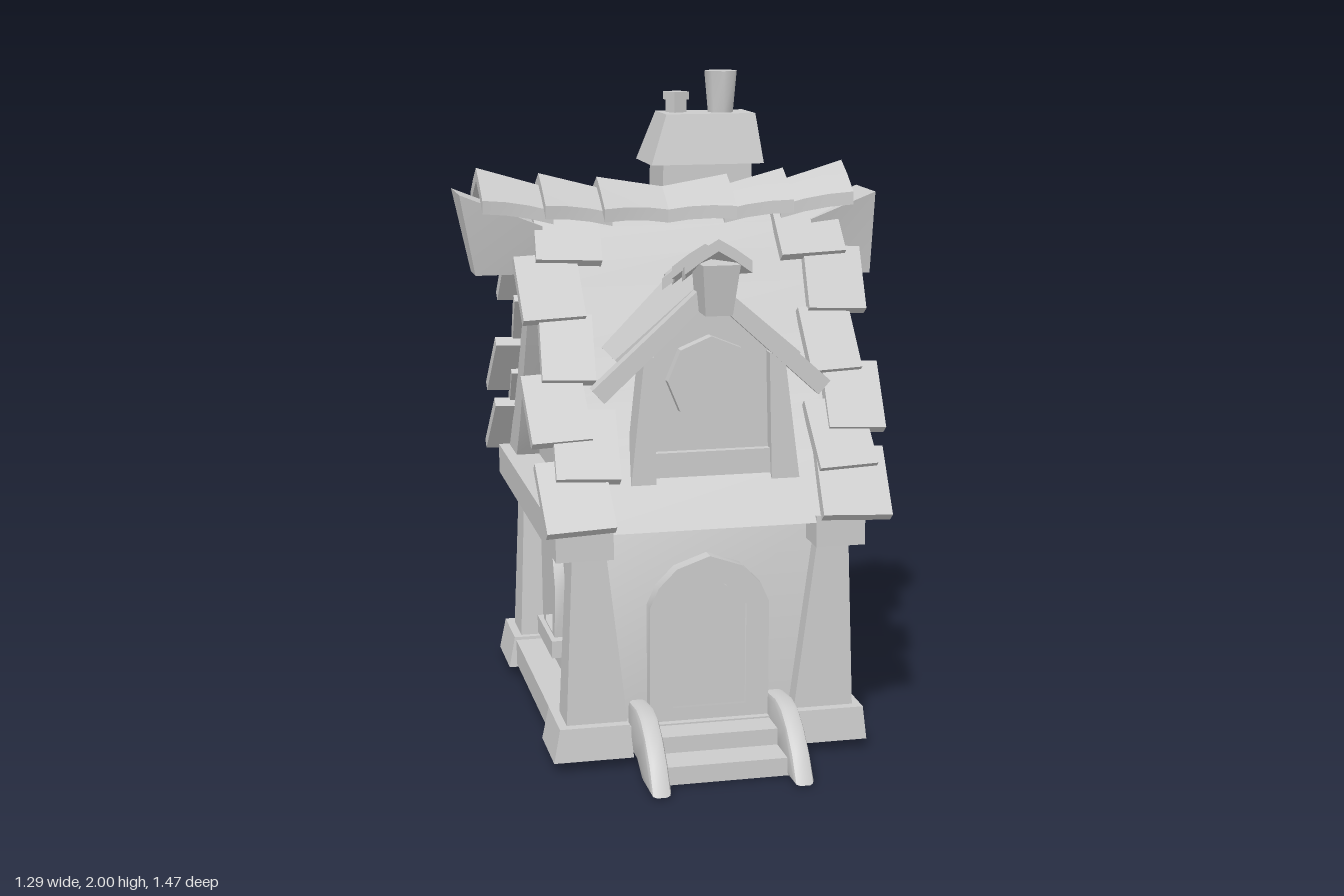
import * as THREE from 'three';
import { toCreasedNormals } from 'three/addons/utils/BufferGeometryUtils.js';

const ZC = -0.09; // z of the ridge line
const XC = 0.03; // x of the house centre line

export function createModel() {
  const root = new THREE.Group();
  const mat = new THREE.MeshStandardMaterial({ color: 0xcccccc });
  const openMat = new THREE.MeshStandardMaterial({ color: 0xcccccc, side: THREE.DoubleSide });

  const add = (name, geo, parent = root, crease = 0.6) => {
    const m = new THREE.Mesh(toCreasedNormals(geo, crease), mat);
    m.name = name;
    parent.add(m);
    return m;
  };

  // Axis-aligned box from its limits
  const box = (name, x0, x1, y0, y1, z0, z1, parent) =>
    add(name, new THREE.BoxGeometry(x1 - x0, y1 - y0, z1 - z0)
      .translate((x0 + x1) / 2, (y0 + y1) / 2, (z0 + z1) / 2), parent);

  // Tapered block: bottom and top rectangles [x0, x1, z0, z1]; tilt lowers the top at x0 and x1
  const taper = (name, b, y0, t, y1, tilt = [0, 0]) => {
    const g = new THREE.BoxGeometry(1, 1, 1), p = g.attributes.position;
    for (let i = 0; i < p.count; i++) {
      const up = p.getY(i) > 0, r = up ? t : b, side = p.getX(i) > 0 ? 1 : 0;
      p.setXYZ(i, r[side], up ? y1 - tilt[side] : y0, r[p.getZ(i) > 0 ? 3 : 2]);
    }
    return add(name, g);
  };

  const shapeOf = (pts) => new THREE.Shape(pts.map((q) => new THREE.Vector2(q[0], q[1])));

  // Outline in x,y pushed along z, with an optional hole
  const plate = (name, pts, z0, z1, hole, parent) => {
    const s = shapeOf(pts);
    if (hole) s.holes.push(shapeOf(hole));
    return add(name, new THREE.ExtrudeGeometry(s, { depth: z1 - z0, bevelEnabled: false }).translate(0, 0, z0), parent);
  };

  // Outline in z,y pushed along x
  const sidePlate = (name, pts, x0, x1, bevel = 0) =>
    add(name, new THREE.ExtrudeGeometry(shapeOf(pts), {
      depth: x1 - x0 - 2 * bevel, bevelEnabled: bevel > 0, bevelSize: bevel, bevelThickness: bevel, bevelSegments: 2,
    }).rotateY(-Math.PI / 2).translate(x1 - bevel, 0, 0));

  // Slab lying between two points [z, y]
  const slab = (name, x, w, a, b, t, twist) => {
    const dz = b[0] - a[0], dy = b[1] - a[1];
    const m = add(name, new THREE.BoxGeometry(w, t, Math.hypot(dz, dy)).rotateY(twist));
    m.position.set(x, (a[1] + b[1]) / 2, (a[0] + b[0]) / 2);
    m.rotation.x = -Math.atan2(dy, dz);
  };

  // Bent ridge tile along z: wide raised end at z1, narrow end at z0
  const ridgeTile = (name, z0, z1, wide, narrow, peak0, peak1, drop, t) => {
    const g = new THREE.BoxGeometry(1, 1, 1, 4, 1, 3), p = g.attributes.position;
    for (let i = 0; i < p.count; i++) {
      const u = p.getX(i) * 2, f = p.getZ(i) + 0.5, half = narrow + (wide - narrow) * f * f;
      const y = peak0 + (peak1 - peak0) * f - Math.pow(Math.abs(u), 1.15) * drop * half / wide;
      p.setXYZ(i, u * half, p.getY(i) > 0 ? y : y - t, z0 + (z1 - z0) * f);
    }
    return add(name, g);
  };

  const mirrorX = (pts) => pts.concat(pts.filter((q) => q[0] !== 0).reverse().map((q) => [-q[0], q[1]]));
  const octagon = (r) => Array.from({ length: 8 }, (_, i) =>
    [r * Math.sin(i * Math.PI / 4), r * Math.cos(i * Math.PI / 4)]);

  // --- Foundation and lower walls ---
  for (const [a, b, c, d] of [[-0.46, -0.22, 0.25, 0.47], [0.26, 0.5, 0.25, 0.47], [-0.46, -0.22, -0.645, -0.42], [0.26, 0.5, -0.645, -0.42]])
    taper('cornerStone', [a, b, c, d], 0.03, [a + 0.02, b - 0.01, c + 0.005, d - 0.01], 0.13);
  box('frontPlinth', -0.24, 0.28, 0.04, 0.115, 0.3, 0.44);
  box('backPlinth', -0.24, 0.28, 0.04, 0.115, -0.62, -0.5);
  box('leftPlinth', 0.36, 0.475, 0.04, 0.12, -0.45, 0.28);
  box('rightPlinth', -0.435, -0.3, 0.04, 0.12, -0.45, 0.28);
  for (const [b, t] of [
    [[-0.415, -0.23, 0.3, 0.43], [-0.39, -0.3, 0.325, 0.42]], [[0.28, 0.465, 0.3, 0.43], [0.36, 0.445, 0.325, 0.42]],
    [[-0.415, -0.23, -0.6, -0.45], [-0.39, -0.3, -0.595, -0.485]], [[0.28, 0.465, -0.6, -0.45], [0.36, 0.445, -0.595, -0.485]],
  ]) taper('cornerPost', b, 0.12, t, 0.72);
  box('leftEaveBeam', 0.33, 0.48, 0.645, 0.74, -0.66, 0.48);
  box('rightEaveBeam', -0.45, -0.28, 0.645, 0.74, -0.66, 0.48);

  // --- Roof profile: [distance from ridge line, height] ---
  const curve = [[0, 1.63], [0.06, 1.55], [0.15, 1.38], [0.24, 1.21], [0.33, 1.06], [0.43, 0.91], [0.57, 0.72]];
  const reach = (y) => {
    const i = Math.max(1, curve.findIndex((q) => q[1] <= y));
    const [d0, y0] = curve[i - 1], [d1, y1] = curve[i];
    return d0 + (d1 - d0) * (y - y0) / (y1 - y0);
  };
  // Walls and gables in one hull under the roof
  sidePlate('houseBody', mirrorX([[0, 1.55], [0.15, 1.3], [0.32, 0.99], [0.46, 0.76], [0.46, 0.05]])
    .map((q) => [q[0] + ZC, q[1]]), -0.34, 0.4);
  // Roof skin, then deeper barge boards at the gable ends
  for (const s of [1, -1]) {
    const band = (inner) => [...curve, ...inner].map((q) => [ZC + s * q[0], q[1]]);
    sidePlate('roofSlope', band([[0.54, 0.715], [0.4, 0.87], [0.3, 1.01], [0.2, 1.19], [0, 1.55]]), -0.41, 0.465);
    const barge = band([[0.415, 0.72], [0.32, 0.86], [0.06, 1.37], [0, 1.38]]);
    sidePlate('bargeBoard', barge, 0.4, 0.47);
    sidePlate('bargeBoard', barge, -0.415, -0.34);
  }

  // Edge shingles: [lower height, right-side x range, left-side x range]
  const rows = [
    [1.44, -0.425, -0.225, 0.325, 0.53], [1.28, -0.49, -0.3, 0.4, 0.58], [1.11, -0.44, -0.28, 0.37, 0.53],
    [0.95, -0.5, -0.32, 0.41, 0.585], [0.85, -0.43, -0.24, 0.35, 0.53], [0.72, -0.485, -0.28, 0.35, 0.56],
  ];
  for (const s of [1, -1])
    rows.forEach(([y, a, b, c, d], i) => {
      const top = Math.min(y + 0.19, 1.62), lift = s > 0 ? 0.03 : 0.042;
      const hi = [ZC + s * (reach(top) + 0.012), top];
      const lo = [ZC + s * (reach(y) + (i === 5 ? lift - 0.012 : lift)), y + 0.014];
      const twist = 0.05 * s * (i % 2 ? 1 : -1);
      slab('shingle', (a + b) / 2, b - a, hi, lo, 0.035, twist);
      slab('shingle', (c + d) / 2, d - c, hi, lo, 0.035, -twist);
    });
  for (const [a, b, o] of [[-0.33, -0.11, 0], [0.095, 0.28, 0], [0.29, 0.46, 0.015]])
    slab('backEaveShingle', (a + b) / 2, b - a, [-0.59, 0.77], [-0.705 - o, 0.685 - o], 0.03, 0.04);

  // --- Ridge beam ends and ridge tiles ---
  taper('ridgeBeamRight', [-0.6, -0.4, -0.145, -0.035], 1.41, [-0.65, -0.4, -0.19, 0.01], 1.66, [0, 0.1]);
  taper('ridgeBeamLeft', [0.44, 0.645, -0.145, -0.035], 1.38, [0.44, 0.645, -0.19, 0.01], 1.64, [0.08, 0]);
  const ridge = [[-0.01, 0.2, 1.66, 1.695], [0.17, 0.38, 1.655, 1.71], [0.35, 0.57, 1.665, 1.73]];
  for (const s of [1, -1])
    for (const [a, b, p0, p1] of ridge) {
      const m = ridgeTile('ridgeTile', a, b, 0.133, 0.095, p0, p1, 0.085, 0.04);
      m.rotation.y = s * Math.PI / 2;
      m.position.set(s < 0 ? -0.015 : -0.005, 0, ZC - 0.005);
    }

  // --- Chimney ---
  taper('chimneyShaft', [0.005, 0.315, -0.42, -0.2], 0.98, [0.02, 0.305, -0.41, -0.21], 1.73);
  taper('chimneyHood', [-0.022, 0.34, -0.43, -0.19], 1.715, [0.033, 0.32, -0.39, -0.225], 1.87);
  add('largeChimneyPot', new THREE.CylinderGeometry(0.053, 0.04, 0.14, 8), root, 1).position.set(0.225, 1.93, -0.3);
  const pot = new THREE.Group();
  pot.name = 'smallChimneyPot';
  pot.position.set(0.085, 1.87, -0.32);
  pot.rotation.y = 0.45;
  root.add(pot);
  box('potStem', -0.024, 0.024, -0.01, 0.045, -0.024, 0.024, pot);
  box('potCap', -0.029, 0.029, 0.04, 0.065, -0.029, 0.029, pot);

  // --- Dormer ---
  taper('dormerBody', [-0.17, 0.24, 0, 0.355], 0.8, [-0.15, 0.22, 0, 0.355], 1.165);
  plate('dormerGable', [[-0.15, 1.16], [0.21, 1.16], [0.21, 1.24], [XC, 1.4], [-0.15, 1.24]], 0.32, 0.355);
  taper('dormerPost', [-0.21, -0.135, 0.3, 0.395], 0.84, [-0.17, -0.14, 0.3, 0.395], 1.22);
  taper('dormerPost', [0.215, 0.3, 0.3, 0.395], 0.84, [0.205, 0.25, 0.3, 0.395], 1.22);
  box('dormerSill', -0.15, 0.23, 0.84, 0.93, 0.3, 0.38);
  plate('dormerRoof', [[-0.25, 1.21], [XC, 1.45], [0.31, 1.21], [0.29, 1.19], [XC, 1.4], [-0.23, 1.19]], 0.02, 0.36);
  plate('dormerBargeBoards', [[-0.325, 1.13], [XC, 1.45], [0.39, 1.13], [0.355, 1.09], [XC, 1.385], [-0.29, 1.09]], 0.355, 0.4);
  taper('dormerRidgeBeam', [-0.01, 0.07, 0.35, 0.485], 1.35, [-0.025, 0.085, 0.37, 0.515], 1.5);
  for (const [a, b, p0, p1] of [[0.04, 0.175, 1.45, 1.48], [0.16, 0.31, 1.47, 1.535], [0.29, 0.475, 1.5, 1.57]])
    ridgeTile('dormerRidgeTile', a, b, 0.1, 0.065, p0, p1, 0.065, 0.035).position.x = XC;

  // --- Openings, each built facing +z and then turned ---
  const place = (name, x, y, z, turn) => {
    const g = new THREE.Group();
    g.name = name;
    g.position.set(x, y, z);
    g.rotation.y = turn;
    root.add(g);
    return g;
  };
  const roundWindow = (g) => {
    plate('roundWindowFrame', octagon(0.13), 0, 0.04, octagon(0.082), g);
    plate('roundWindowRim', octagon(0.085), 0, 0.025, octagon(0.065), g);
    plate('roundWindowPane', octagon(0.07), 0, 0.008, null, g);
  };
  roundWindow(place('dormerWindow', XC, 1.145, 0.352, 0));
  roundWindow(place('gableWindow', -0.338, 1.01, ZC, -Math.PI / 2));

  const pointedWindow = (g) => {
    plate('windowFrame', mirrorX([[0, 0.58], [0.075, 0.5], [0.12, 0.4], [0.1, 0.22]]), 0, 0.035,
      mirrorX([[0, 0.49], [0.04, 0.44], [0.065, 0.38], [0.06, 0.24]]), g);
    plate('windowPane', mirrorX([[0, 0.51], [0.07, 0.39], [0.065, 0.22]]), -0.01, 0.008, null, g);
    box('windowSill', -0.14, 0.14, 0.18, 0.235, -0.01, 0.05, g);
  };
  pointedWindow(place('backWindow', XC, 0.03, -0.548, Math.PI));
  pointedWindow(place('sideWindow', -0.338, 0.02, -0.125, -Math.PI / 2));

  const door = place('door', 0.022, 0, 0.368, 0);
  plate('doorFrame', mirrorX([[0, 0.62], [0.1, 0.585], [0.155, 0.53], [0.182, 0.47], [0.182, 0.08]]), 0, 0.05,
    mirrorX([[0, 0.555], [0.06, 0.54], [0.112, 0.465], [0.112, 0.155]]), door);
  plate('doorTrim', mirrorX([[0, 0.557], [0.062, 0.542], [0.114, 0.467], [0.114, 0.153]]), 0, 0.03,
    mirrorX([[0, 0.54], [0.053, 0.525], [0.1, 0.46], [0.1, 0.17]]), door);
  plate('doorPanel', mirrorX([[0, 0.56], [0.115, 0.47], [0.115, 0.15]]), 0, 0.01, null, door);

  // --- Diagonal braces on the left wall and gable ---
  sidePlate('wallBrace', [[0.3, 0.21], [0.25, 0.12], [-0.49, 0.585], [-0.47, 0.645], [-0.39, 0.645]], 0.39, 0.408);
  sidePlate('gableBrace', [[0.05, 1.2], [0.05, 1.07], [-0.4, 0.88], [-0.38, 0.98]], 0.39, 0.408);

  // --- Steps and curved side rails ---
  box('upperStep', -0.175, 0.21, 0.005, 0.11, 0.36, 0.535);
  box('lowerStep', -0.175, 0.21, 0.005, 0.06, 0.5, 0.645);
  const rail = [[0.715, 0.015], [0.67, 0.075], [0.61, 0.13], [0.55, 0.165], [0.49, 0.175], [0.4, 0.165], [0.4, 0.05], [0.52, 0.05], [0.59, 0.015]];
  sidePlate('stairRail', rail, -0.222, -0.163, 0.015);
  sidePlate('stairRail', rail, 0.202, 0.261, 0.015);

  // The house and its foundation are open underneath, so their insides show
  for (const m of root.children.filter((c) => /Stone|Plinth|houseBody/.test(c.name))) {
    m.geometry.computeBoundingBox();
    const p = m.geometry.attributes.position, low = m.geometry.boundingBox.min.y + 1e-4, keep = [];
    for (let i = 0; i < p.count; i += 3)
      if (Math.max(p.getY(i), p.getY(i + 1), p.getY(i + 2)) > low) keep.push(i, i + 1, i + 2);
    m.geometry.setIndex(keep);
    m.material = openMat;
  }
  return root;
}
